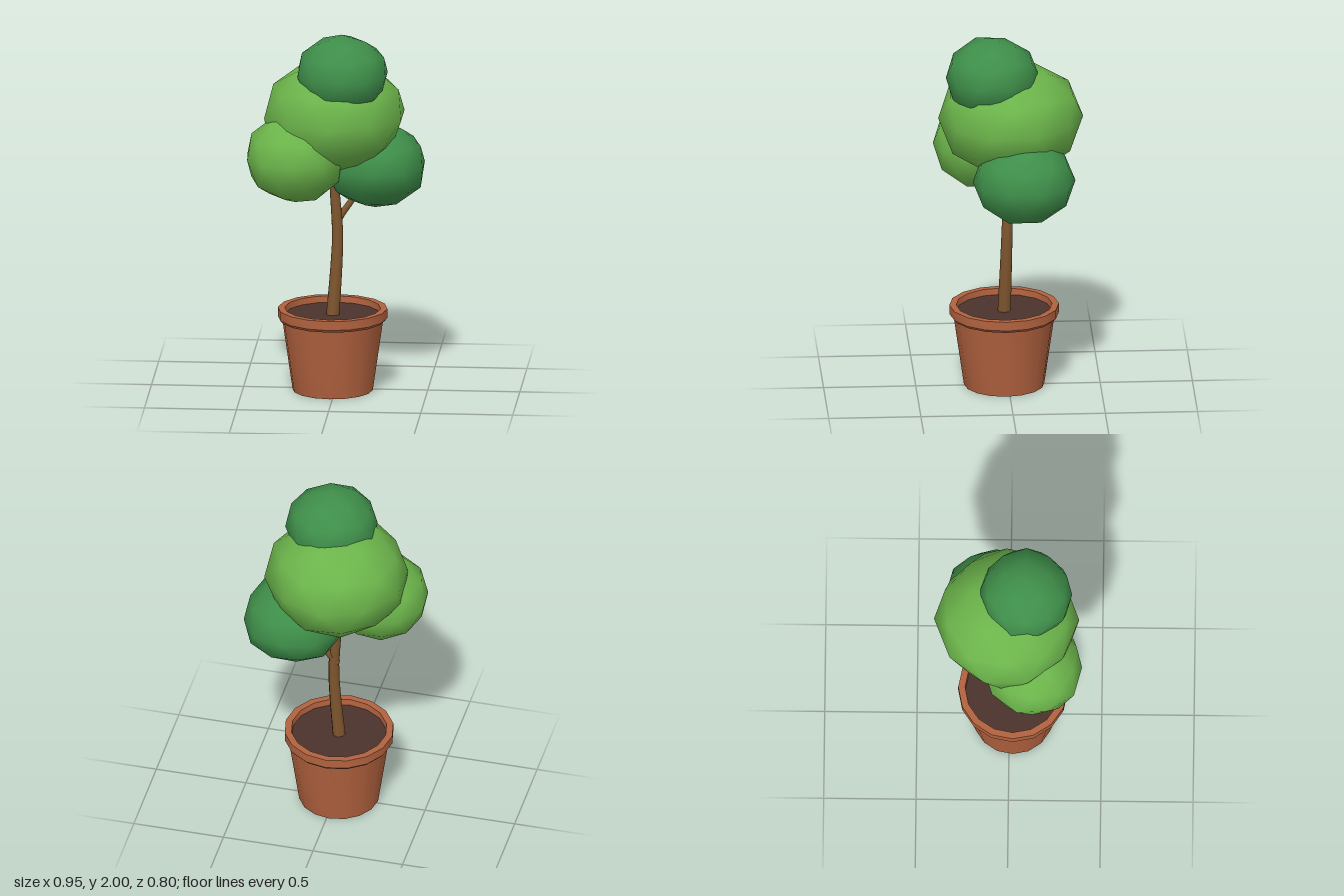
import * as THREE from 'three';
import { mergeVertices, toCreasedNormals } from 'three/addons/utils/BufferGeometryUtils.js';

const material = (name, color) => {
  const m = new THREE.MeshStandardMaterial({ color });
  m.name = name;
  return m;
};

export function createModel() {
  const group = new THREE.Group();
  const terracotta = material('terracotta', 0xb2623f);
  const soilBrown = material('soil brown', 0x4a332c);
  const bark = material('bark', 0x80572f);
  const lightLeaf = material('light leaf green', 0x6cb54b);
  const darkLeaf = material('dark leaf green', 0x3f8f4a);

  const add = (name, geometry, mat, x = 0, y = 0, z = 0) => {
    const mesh = new THREE.Mesh(geometry, mat);
    mesh.name = name;
    mesh.position.set(x, y, z);
    group.add(mesh);
    return mesh;
  };

  // Pot: tapered body, overhanging rim and inner lip
  const profile = [
    [0, 0], [0.218, 0], [0.274, 0.39], [0.285, 0.39], [0.297, 0.405],
    [0.297, 0.455], [0.26, 0.455], [0.255, 0.4],
  ].map(([r, y]) => new THREE.Vector2(r, y));
  add('pot', toCreasedNormals(new THREE.LatheGeometry(profile, 16), 0.6), terracotta, -0.015, 0, 0.02);
  add('soil', new THREE.CircleGeometry(0.258, 16).rotateX(-Math.PI / 2), soilBrown, -0.015, 0.42, 0.02);

  // Wood: a tube along a curve, tapered from r0 to r1
  const limb = (name, points, r0, r1, segments) => {
    const curve = new THREE.CatmullRomCurve3(points.map((p) => new THREE.Vector3(...p)));
    const sides = 8;
    const geo = new THREE.TubeGeometry(curve, segments, 1, sides);
    const pos = geo.attributes.position;
    const v = new THREE.Vector3();
    for (let i = 0; i < pos.count; i++) {
      const t = Math.floor(i / (sides + 1)) / segments;
      const c = curve.getPointAt(t);
      v.fromBufferAttribute(pos, i).sub(c).multiplyScalar(r0 + (r1 - r0) * t).add(c);
      pos.setXYZ(i, v.x, v.y, v.z);
    }
    add(name, geo, bark);
  };
  limb('trunk', [[-0.015, 0.41, 0.02], [0.003, 0.66, 0.012], [0.011, 0.87, 0.006], [-0.006, 1.12, 0], [-0.015, 1.4, 0]], 0.036, 0.023, 10);
  limb('branch', [[-0.008, 0.91, 0.004], [0.04, 0.985, -0.012], [0.2, 1.2, -0.06]], 0.02, 0.013, 4);

  // Foliage: squashed low-poly spheres standing on a corner, with slight unevenness
  const tilt = -Math.atan(2 / (1 + Math.sqrt(5)));
  const foliage = (name, mat, [x, y, z], r, ry, seed) => {
    let geo = new THREE.IcosahedronGeometry(1, 1).rotateZ(tilt);
    geo.deleteAttribute('uv');
    geo.deleteAttribute('normal');
    geo = mergeVertices(geo, 1e-3);
    const pos = geo.attributes.position;
    for (let i = 0; i < pos.count; i++) {
      const k = 1 + 0.025 * Math.sin(seed + i * 2.4);
      pos.setXYZ(i, pos.getX(i) * r * k, pos.getY(i) * ry * k, pos.getZ(i) * r * k);
    }
    geo.computeVertexNormals();
    add(name, geo, mat, x, y, z);
  };
  foliage('crownMiddle', lightLeaf, [-0.015, 1.53, -0.015], 0.388, 0.315, 1);
  foliage('crownTop', darkLeaf, [0.04, 1.78, 0.09], 0.252, 0.22, 2);
  foliage('crownRight', lightLeaf, [-0.21, 1.32, 0.13], 0.272, 0.245, 3);
  foliage('crownLeft', darkLeaf, [0.21, 1.24, -0.075], 0.282, 0.235, 4);

  return group;
}
